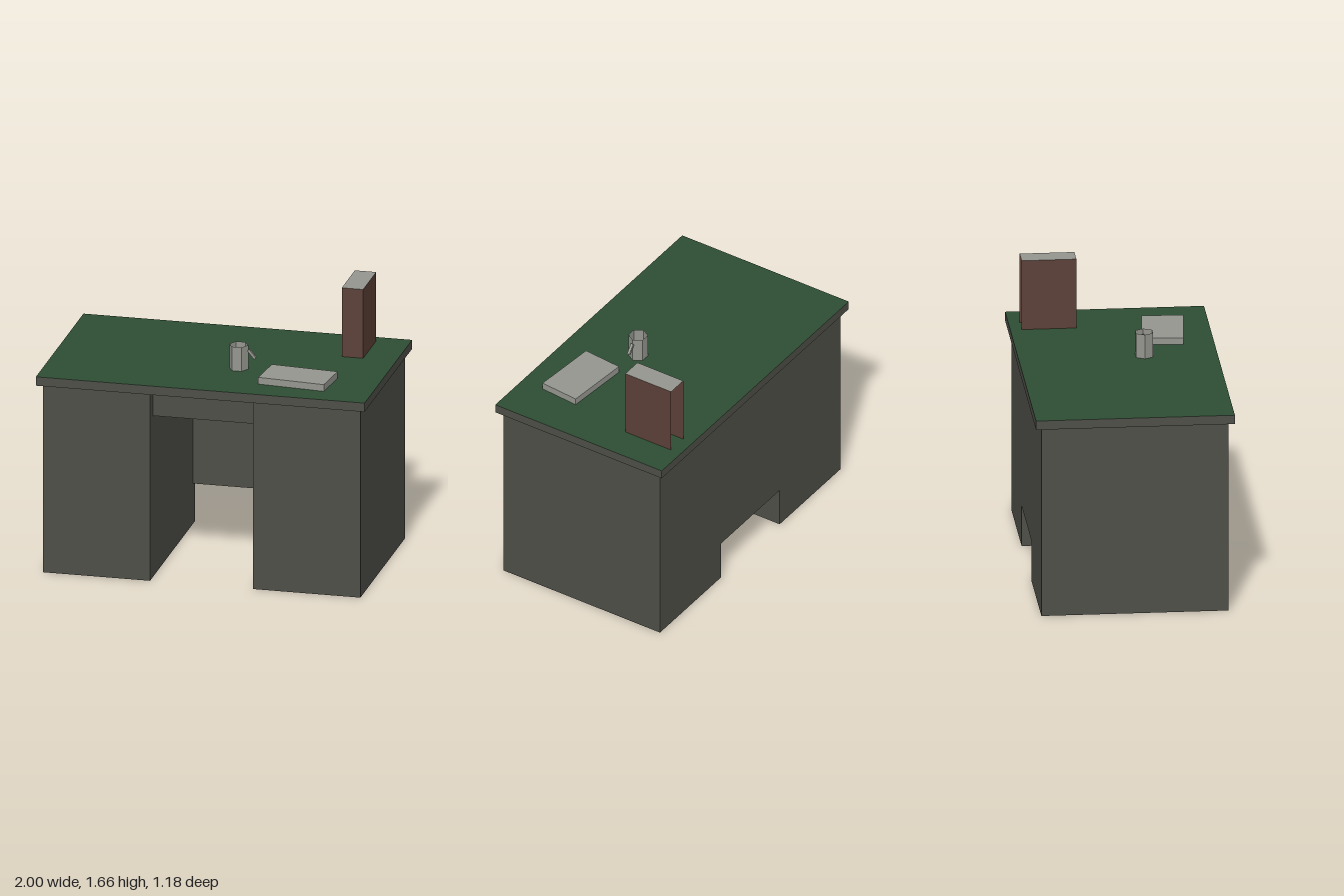
import * as THREE from 'three';

const material = (name, color) => {
  const m = new THREE.MeshStandardMaterial({ color, side: THREE.DoubleSide });
  m.name = name;
  return m;
};

// Box keeping only the listed faces: 0 +x, 1 -x, 2 +y, 3 -y, 4 +z, 5 -z
function partialBox(w, h, d, faces) {
  const geometry = new THREE.BoxGeometry(w, h, d);
  const index = Array.from(geometry.index.array);
  geometry.setIndex(faces.flatMap((f) => index.slice(f * 6, f * 6 + 6)));
  geometry.clearGroups();
  return geometry;
}

export function createModel() {
  const model = new THREE.Group();
  model.name = 'desk';
  const deskGrey = material('deskGrey', 0x4e4e48);
  const feltGreen = material('feltGreen', 0x2e4d34);
  const binderBrown = material('binderBrown', 0x5c4038);
  const paperGrey = material('paperGrey', 0x969690);

  const add = (name, geometry, mat, x, y, z, parent = model) => {
    const mesh = new THREE.Mesh(geometry, mat);
    mesh.name = name;
    mesh.position.set(x, y, z);
    parent.add(mesh);
    return mesh;
  };

  // Hollow pedestals, open underneath
  for (const [name, side] of [['leftPedestal', 1], ['rightPedestal', -1]]) {
    add(name, partialBox(0.652, 1.175, 1.11, [0, 1, 4, 5]), deskGrey, side * 0.64, 0.5875, 0);
  }

  // Modesty panel across the back and the recessed centre drawer
  add('backPanel', new THREE.BoxGeometry(0.63, 0.925, 0.04), deskGrey, 0, 0.7125, -0.535);
  add('centreDrawer', new THREE.BoxGeometry(0.626, 0.15, 0.55), deskGrey, 0, 1.085, 0.215);

  // Table top: grey edges and underside, green writing surface
  add('tableTop', partialBox(2, 0.055, 1.18, [0, 1, 3, 4, 5]), deskGrey, 0, 1.2025, 0);
  add('writingSurface', new THREE.PlaneGeometry(2, 1.18).rotateX(-Math.PI / 2), feltGreen, 0, 1.23, 0);

  // Binder, open at the back
  const binder = new THREE.Group();
  binder.name = 'binder';
  binder.position.set(0.733, 1.445, -0.36);
  model.add(binder);
  add('binderCover', partialBox(0.13, 0.43, 0.325, [0, 1, 4]), binderBrown, 0, 0, 0, binder);
  add('binderPages', partialBox(0.13, 0.43, 0.325, [2]), paperGrey, 0, 0, 0, binder);

  // Notepad lying slightly askew
  const notepad = add('notepad', new THREE.BoxGeometry(0.41, 0.042, 0.25), paperGrey, 0.523, 1.252, 0.3);
  notepad.rotation.y = -0.09;

  // Six-sided mug with a slanted handle
  const mug = new THREE.Group();
  mug.name = 'mug';
  mug.position.set(0.128, 1.23, 0.155);
  model.add(mug);
  const cup = new THREE.CylinderGeometry(0.058, 0.058, 0.15, 6, 1, true).toNonIndexed();
  cup.rotateY(Math.PI / 2);
  cup.computeVertexNormals();
  add('mugWall', cup, paperGrey, 0, 0.075, 0, mug);
  const handle = add('mugHandle', new THREE.BoxGeometry(0.016, 0.065, 0.016), paperGrey, 0.08, 0.096, 0, mug);
  handle.rotation.z = 0.68;

  return model;
}
